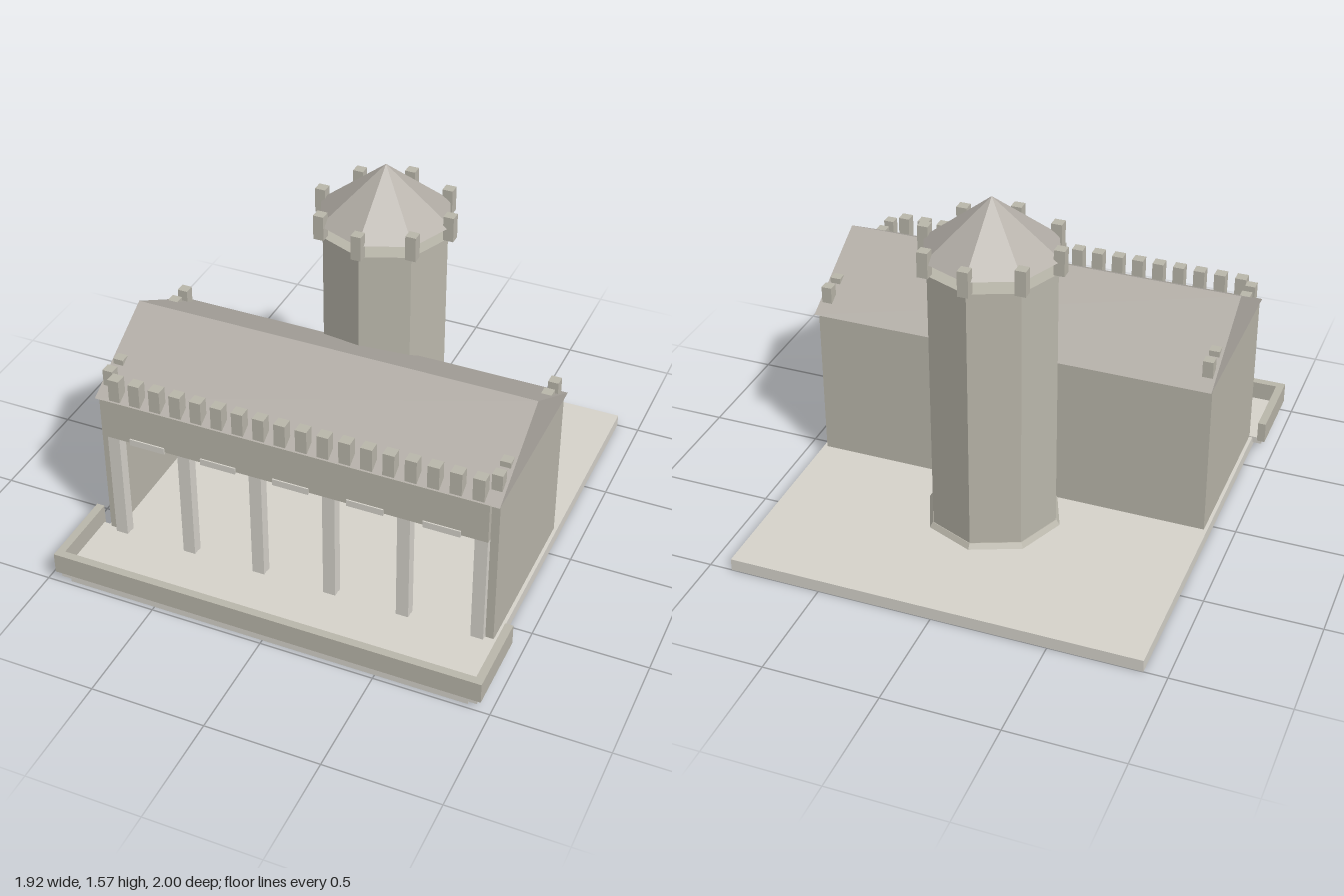
import * as THREE from 'three';

const mat = (color) => new THREE.MeshStandardMaterial({ color, flatShading: true });

export function createModel() {
  const model = new THREE.Group();
  model.name = 'fortifiedHall';
  const paving = mat(0xd6d3cb), stone = mat(0xbab7ab), roofing = mat(0xb2ada6);

  const add = (name, geometry, material) => {
    const mesh = new THREE.Mesh(geometry, material);
    mesh.name = name;
    model.add(mesh);
    return mesh;
  };
  // Box given by its limits on each axis
  const box = (name, [x0, x1], [y0, y1], [z0, z1], material = stone) =>
    add(name, new THREE.BoxGeometry(x1 - x0, y1 - y0, z1 - z0), material)
      .position.set((x0 + x1) / 2, (y0 + y1) / 2, (z0 + z1) / 2);
  const around = (c, size) => [c - size / 2, c + size / 2];

  // Ground slab and front terrace with its low parapet
  box('groundSlab', [-0.9, 0.9], [0, 0.055], [-1, 0.98], paving);
  box('terraceStep', [-0.94, 0.94], [0.02, 0.05], [0.66, 0.985], paving);
  box('terraceFloor', [-0.95, 0.95], [0.05, 0.06], [0.645, 0.99], paving);
  box('frontParapet', [-0.96, 0.96], [0.05, 0.145], [0.965, 1]);
  for (const s of [-1, 1]) box('sideParapet', around(s * 0.9425, 0.035), [0.05, 0.145], [0.635, 0.965]);

  // Hall: two side walls and a back wall, open to the front
  for (const s of [-1, 1]) box('sideWall', around(s * 0.8675, 0.035), [0.055, 0.766], [-0.105, 0.655]);
  box('backWall', [-0.85, 0.85], [0.055, 0.766], [-0.105, -0.075]);
  box('backDoor', [-0.225, 0.225], [0.055, 0.62], [-0.07, 0.005]);

  // Colonnade and the beam it carries
  box('beam', [-0.85, 0.85], [0.58, 0.766], [0.63, 0.68]);
  for (let i = 0; i < 6; i++) {
    const x = -0.82 + i * 0.328;
    box('column', around(x, 0.055), [0.055, 0.58], [0.625, 0.675], paving);
    if (i < 5) box('beamBlock', around(x + 0.164, 0.16), [0.572, 0.602], [0.64, 0.686], paving);
  }

  // Gable roof
  const gable = new THREE.Shape([
    new THREE.Vector2(-0.14, 0.765), new THREE.Vector2(0.68, 0.765), new THREE.Vector2(0.27, 1),
  ]);
  const roof = new THREE.ExtrudeGeometry(gable, { depth: 1.78, bevelEnabled: false });
  roof.translate(0, 0, -0.89).rotateY(-Math.PI / 2);
  add('gableRoof', roof, roofing);

  // Battlements along the front eave and at the gable corners
  for (let i = 0; i < 18; i++)
    box('frontMerlon', around(-0.8 + i * 1.6 / 17, 0.05), [0.77, 0.875], around(0.65, 0.05));
  for (const s of [-1, 1])
    for (const z of [0.6, 0.51, 0.03, -0.06])
      box('sideMerlon', around(s * 0.855, 0.045), [0.8, 0.875], around(z, 0.045));

  // Eight-sided tower
  const zT = -0.29;
  const octagon = (name, rTop, rBottom, y0, y1, material) =>
    add(name, new THREE.CylinderGeometry(rTop, rBottom, y1 - y0, 8), material)
      .position.set(0, (y0 + y1) / 2, zT);
  octagon('towerPlinth', 0.285, 0.3, 0.055, 0.078, stone);
  octagon('towerShaft', 0.282, 0.282, 0.055, 1.28, stone);
  octagon('towerRoof', 0, 0.295, 1.34, 1.572, roofing);
  for (let i = 0; i < 8; i++) {
    const a = i * Math.PI / 4;
    box('towerMerlon', around(0.291 * Math.sin(a), 0.046), [1.283, 1.395],
      around(zT + 0.291 * Math.cos(a), 0.046));
  }
  return model;
}
